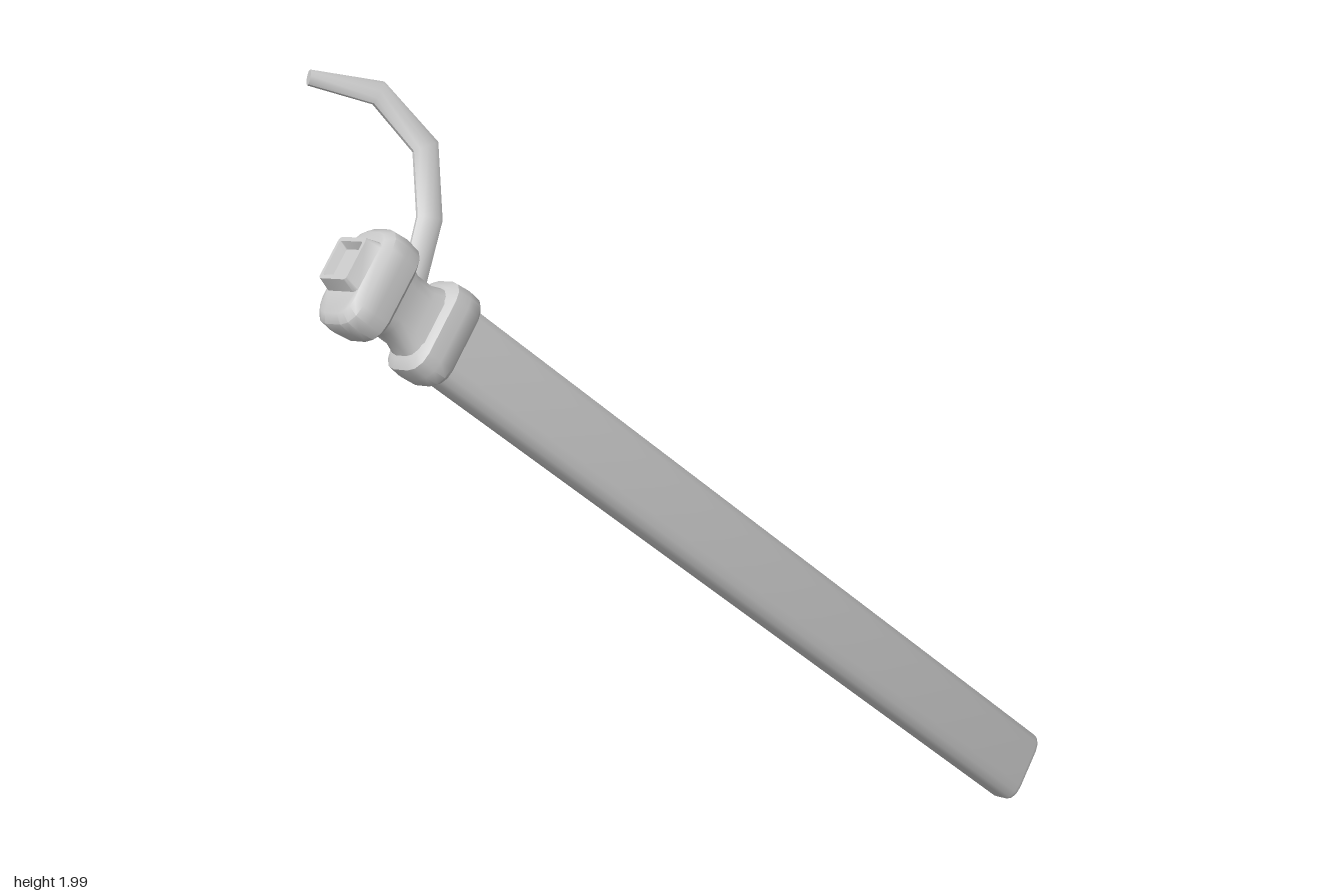
import * as THREE from 'three';
import { toCreasedNormals } from 'three/addons/utils/BufferGeometryUtils.js';

const material = new THREE.MeshStandardMaterial({ color: 0xcccccc });
const vec = (x, y, z) => new THREE.Vector3(x, y, z);

// Skin a list of equal-sized rings and close both ends
function loft(name, rings, crease) {
  const n = rings[0].length, pos = [], index = [];
  rings.forEach(r => r.forEach(p => pos.push(p.x, p.y, p.z)));
  for (let i = 0; i < rings.length - 1; i++) {
    for (let j = 0; j < n; j++) {
      const a = i * n + j, b = i * n + (j + 1) % n;
      index.push(a, a + n, b, b, a + n, b + n);
    }
  }
  for (const end of [0, rings.length - 1]) {
    const c = vec(0, 0, 0);
    rings[end].forEach(p => c.addScaledVector(p, 1 / n));
    const centre = pos.length / 3;
    pos.push(c.x, c.y, c.z);
    for (let j = 0; j < n; j++) {
      const a = end * n + j, b = end * n + (j + 1) % n;
      if (end === 0) index.push(centre, a, b);
      else index.push(centre, b, a);
    }
  }
  const g = new THREE.BufferGeometry();
  g.setAttribute('position', new THREE.Float32BufferAttribute(pos, 3));
  g.setIndex(index);
  const mesh = new THREE.Mesh(toCreasedNormals(g, crease), material);
  mesh.name = name;
  return mesh;
}

// Rounded rectangle at height y: half sizes hx, hz, corner radii rx, rz, shift in z
function section([y, hx, hz, rx, rz = rx, oz = 0]) {
  const pts = [];
  [[1, 1], [-1, 1], [-1, -1], [1, -1]].forEach(([sx, sz], q) => {
    for (let k = 0; k < 4; k++) {
      const a = (q + k / 3) * Math.PI / 2;
      pts.push(vec(sx * (hx - rx) + rx * Math.cos(a), y, oz + sz * (hz - rz) + rz * Math.sin(a)));
    }
  });
  return pts;
}

export function createModel() {
  const model = new THREE.Group();
  model.name = 'sheathedBlade';

  // Slanted frame: y runs along the sheath from tip to grip, z across its width
  const tip = vec(0.385, 0.065, -0.735);
  const along = vec(-0.15, 1.505, 0.57).sub(tip).normalize();
  const across = vec(0.15, -0.63, 0.76);
  across.addScaledVector(along, -across.dot(along)).normalize();
  const thick = along.clone().cross(across);
  const body = new THREE.Group();
  body.name = 'body';
  body.applyMatrix4(new THREE.Matrix4().makeBasis(thick, along, across).setPosition(tip));
  model.add(body);

  const part = (name, rows) => body.add(loft(name, rows.map(section), 0.75));

  // Long flat sheath with rounded edges
  part('sheath', [
    [0, 0.039, 0.083, 0.025, 0.036],
    [0.012, 0.044, 0.086, 0.028, 0.04],
    [2.0, 0.045, 0.086, 0.028, 0.04],
  ]);

  // Collar at the mouth of the sheath
  part('collar', [
    [1.974, 0.055, 0.092, 0.035],
    [1.986, 0.066, 0.102, 0.042],
    [2.017, 0.069, 0.105, 0.044],
    [2.048, 0.066, 0.102, 0.042],
    [2.062, 0.05, 0.085, 0.035],
  ]);

  // Waisted grip between collar and head
  part('grip', [
    [2.05, 0.054, 0.082, 0.035],
    [2.085, 0.048, 0.07, 0.035],
    [2.13, 0.048, 0.07, 0.035],
    [2.165, 0.054, 0.082, 0.035],
  ]);

  // Head with a raised, hollowed cap
  part('head', [
    [2.15, 0.052, 0.09, 0.035],
    [2.164, 0.069, 0.106, 0.044],
    [2.2, 0.073, 0.111, 0.046],
    [2.232, 0.07, 0.108, 0.044],
    [2.247, 0.056, 0.092, 0.035],
    [2.249, 0.054, 0.056, 0.012, 0.012, -0.012],
    [2.28, 0.047, 0.047, 0.008, 0.008, -0.012],
    [2.28, 0.039, 0.038, 0.005, 0.005, -0.012],
    [2.262, 0.033, 0.03, 0.004, 0.004, -0.012],
  ]);

  // Thin curved hook: flattened oval swept along a bent path
  const path = [
    vec(-0.18, 1.62, 0.59), vec(-0.225, 1.71, 0.505), vec(-0.285, 1.83, 0.455),
    vec(-0.36, 1.938, 0.505), vec(-0.428, 1.985, 0.622),
  ];
  const halfWidth = [0.026, 0.028, 0.03, 0.027, 0.016];
  const normal = vec(-0.83, -0.54, -0.2).normalize();
  const rings = path.map((p, i) => {
    const dir = (a, b) => path[b].clone().sub(path[a]).normalize();
    const t = dir(Math.max(i - 1, 0), i || 1).add(dir(Math.min(i, 3), Math.min(i + 1, 4))).normalize();
    const side = normal.clone().cross(t).normalize();
    const u = t.clone().cross(side);
    return Array.from({ length: 10 }, (_, k) => {
      const a = k / 10 * Math.PI * 2;
      return p.clone().addScaledVector(u, 0.014 * Math.cos(a))
        .addScaledVector(side, halfWidth[i] * Math.sin(a));
    });
  });
  model.add(loft('hook', rings, 0.65));

  return model;
}
